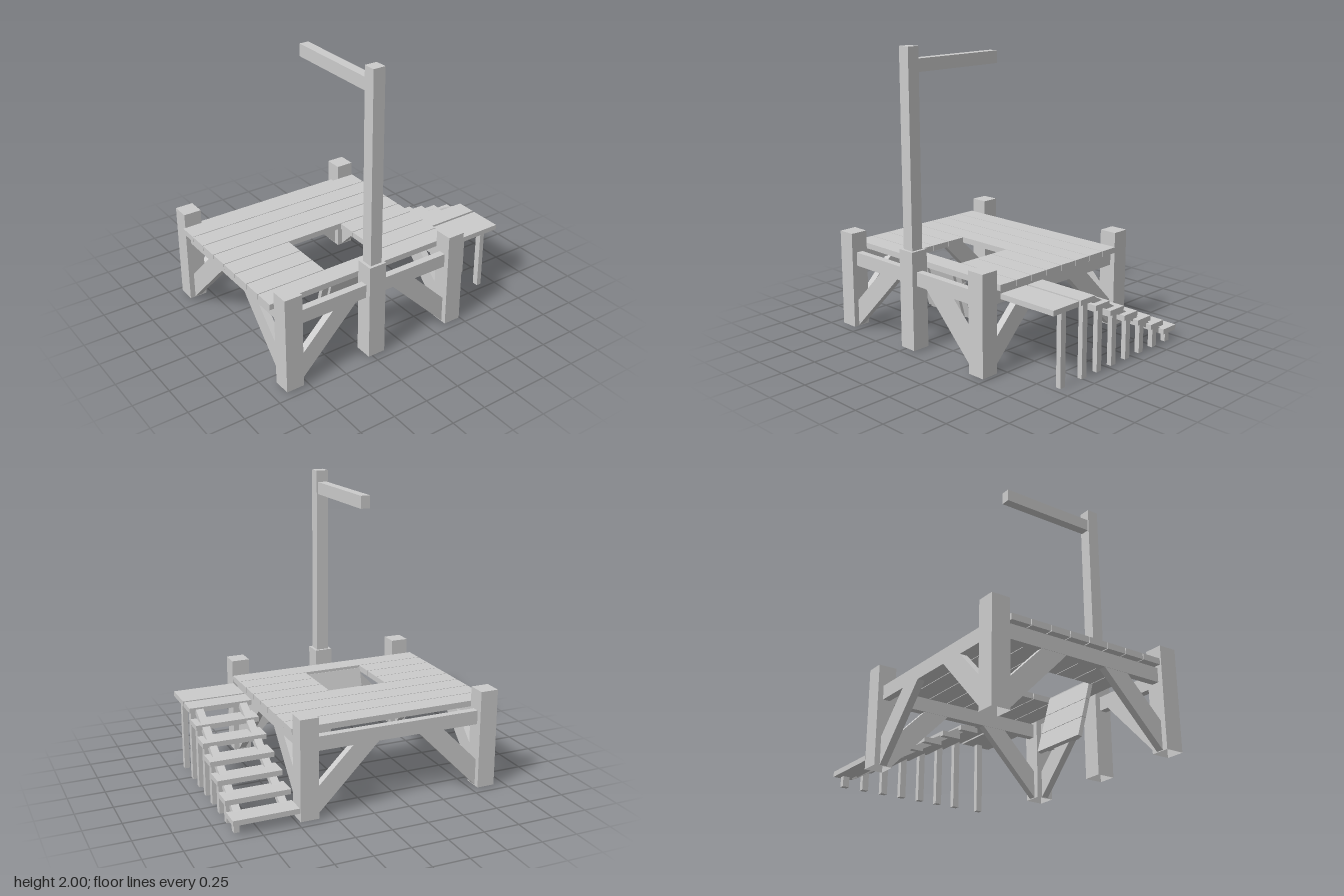
import * as THREE from 'three';

const mat = new THREE.MeshStandardMaterial({ color: 0xcccccc, flatShading: true });
const openMat = new THREE.MeshStandardMaterial({ color: 0xcccccc, flatShading: true, side: THREE.DoubleSide });

// Box given by its extents on each axis
function beam(parent, name, [x0, x1], [y0, y1], [z0, z1]) {
  const mesh = new THREE.Mesh(new THREE.BoxGeometry(x1 - x0, y1 - y0, z1 - z0), mat);
  mesh.position.set((x0 + x1) / 2, (y0 + y1) / 2, (z0 + z1) / 2);
  mesh.name = name;
  parent.add(mesh);
  return mesh;
}

// Square post, open underneath
function post(parent, name, x, z) {
  const mesh = beam(parent, name, [x - 0.0625, x + 0.0625], [0.01, 0.685], [z - 0.0625, z + 0.0625]);
  const index = Array.from(mesh.geometry.index.array);
  index.splice(18, 6);
  mesh.geometry.setIndex(index);
  mesh.geometry.clearGroups();
  mesh.material = openMat;
}

// Diagonal brace rising away from a post; dir is its direction, alongZ turns it to the sides
function brace(parent, x, z, dir, alongZ) {
  const shape = new THREE.Shape([[0, 0.015], [0.43, 0.45], [0.25, 0.45], [0, 0.2]]
    .map(([a, b]) => new THREE.Vector2(a * dir, b)));
  const geo = new THREE.ExtrudeGeometry(shape, { depth: 0.05, bevelEnabled: false });
  geo.translate(0, 0, -0.025);
  if (alongZ) geo.rotateY(-Math.PI / 2);
  const mesh = new THREE.Mesh(geo, mat);
  mesh.position.set(x, 0, z);
  mesh.name = 'brace';
  parent.add(mesh);
}

export function createModel() {
  const model = new THREE.Group();
  const left = 0.4225, right = -0.8525, end = 0.6375;

  // Frame: posts, rails and braces
  const frame = new THREE.Group();
  frame.name = 'frame';
  model.add(frame);
  for (const z of [-end, end]) {
    beam(frame, 'endRail', [-0.79, 0.36], [0.45, 0.545], [z - 0.025, z + 0.025]);
    for (const x of [right, left]) {
      const dir = x === right ? 1 : -1;
      post(frame, 'cornerPost', x, z);
      brace(frame, x + dir * 0.0625, z, dir, false);
      brace(frame, x, z - Math.sign(z) * 0.0625, -Math.sign(z), true);
    }
  }
  for (const x of [right, left]) {
    beam(frame, 'sideRail', [x - 0.027, x + 0.027], [0.45, 0.545], [-0.575, 0.575]);
  }

  // Mast with overhanging arm
  const mast = new THREE.Group();
  mast.name = 'mast';
  model.add(mast);
  post(mast, 'mastBase', -0.2225, end);
  beam(mast, 'mastPole', [-0.265, -0.18], [0.685, 2], [0.595, 0.68]);
  beam(mast, 'mastArm', [-0.255, -0.19], [1.835, 1.92], [-0.11, 0.595]);

  // Deck planks, split around the hatch opening
  const deck = new THREE.Group();
  deck.name = 'deck';
  model.add(deck);
  for (let i = 0; i < 8; i++) {
    const z = -0.575 + i * 0.1413;
    const spans = i >= 4 && i <= 6 ? [[-0.93, -0.435], [-0.01, 0.49]] : [[-0.93, 0.49]];
    for (const span of spans) beam(deck, 'deckPlank', span, [0.545, 0.585], [z, z + 0.136]);
  }

  // Hatch door hanging open from the front of the opening
  const hatch = new THREE.Group();
  hatch.name = 'hatchDoor';
  hatch.position.set(-0.225, 0.57, 0.4);
  hatch.rotation.x = 0.27;
  model.add(hatch);
  for (let i = 0; i < 3; i++) {
    beam(hatch, 'hatchBoard', [-0.21, 0.21], [-0.136 * i - 0.133, -0.136 * i], [0, 0.03]);
  }
  for (const x of [-0.13, 0.125]) {
    beam(hatch, 'hatchBatten', [x - 0.03, x + 0.03], [-0.395, -0.02], [0.03, 0.05]);
  }

  // Stairs: treads with an outer leg each, front landing first
  const stairs = new THREE.Group();
  stairs.name = 'stairs';
  model.add(stairs);
  for (let i = 0; i < 8; i++) {
    const top = i === 0 ? 0.53 : 0.53 - (i - 1) * 0.071;
    const z1 = i === 0 ? 0.55 : 0.303 - (i - 1) * 0.1445;
    const z0 = i === 0 ? 0.32 : z1 - 0.135;
    const legZ = i === 0 ? 0.435 : (z0 + z1) / 2;
    beam(stairs, 'tread', [0.49, 0.925], [top - 0.035, top], [z0, z1]);
    beam(stairs, 'treadLeg', [0.87, 0.905], [0, top - 0.035], [legZ - 0.022, legZ + 0.022]);
  }

  // Sloping stringers under the treads
  for (const x of [0.552, 0.858]) {
    const stringer = beam(stairs, 'stringer', [x - 0.026, x + 0.026], [-0.02, 0.02], [-0.435, 0.435]);
    stringer.position.set(x, 0.29, -0.21);
    stringer.rotation.x = -0.514;
  }
  return model;
}
